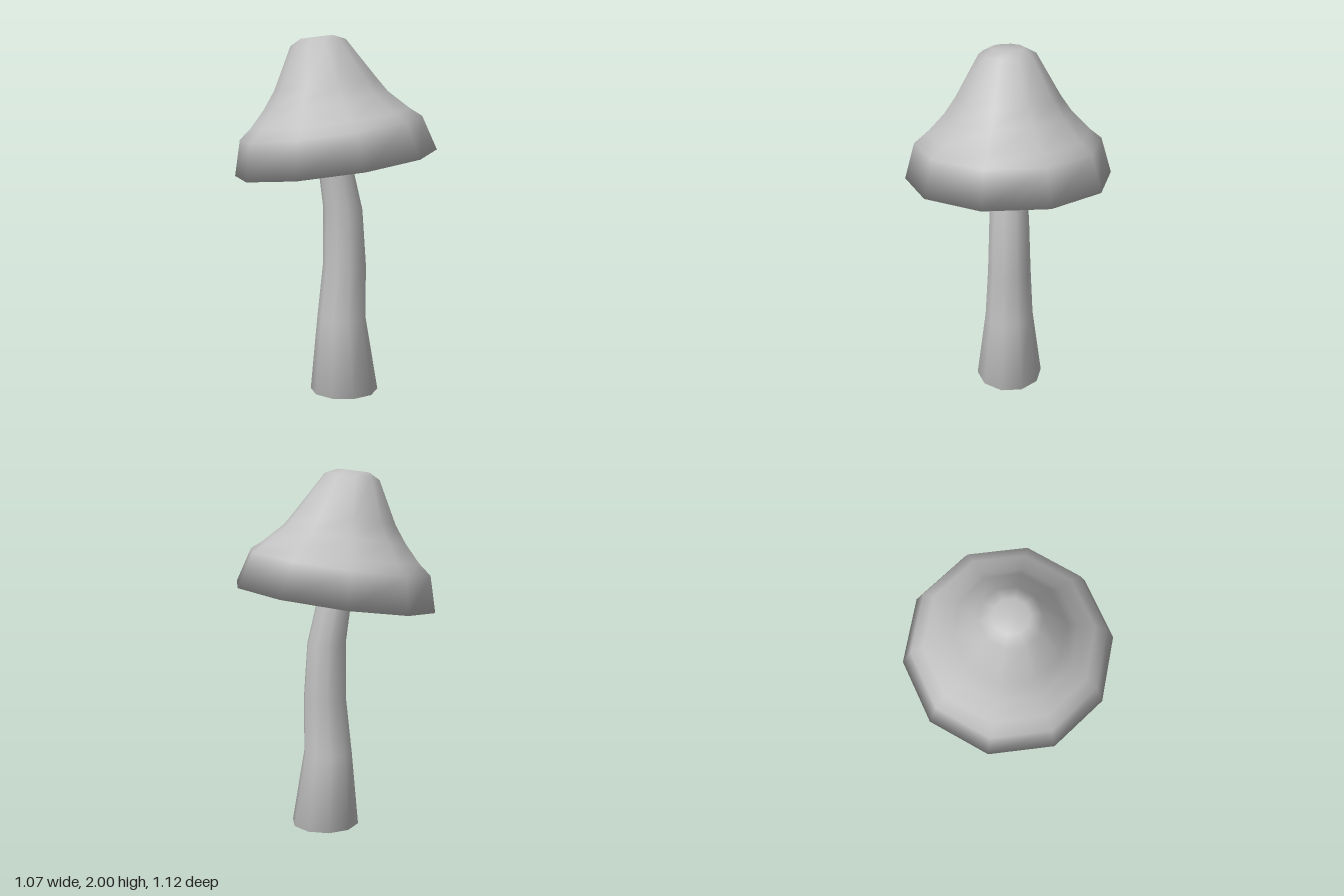
import * as THREE from 'three';

const SIDES = 10;

// Closed, smooth loft through tilted rings [centre x, centre y, radius, tilt], bottom to top.
function loft(rings) {
  const pos = [], idx = [];
  for (const [cx, cy, r, tilt] of rings) {
    for (let i = 0; i < SIDES; i++) {
      const a = (i / SIDES) * Math.PI * 2;
      const dx = r * Math.sin(a);
      pos.push(cx + dx, cy + dx * tilt, r * Math.cos(a));
    }
  }
  const last = rings.length - 1;
  const bottom = pos.length / 3, top = bottom + 1;
  pos.push(rings[0][0], rings[0][1], 0, rings[last][0], rings[last][1], 0);
  for (let i = 0; i < SIDES; i++) {
    const j = (i + 1) % SIDES;
    for (let k = 0; k < last; k++) {
      const a = k * SIDES + i, b = k * SIDES + j;
      idx.push(a, b, b + SIDES, a, b + SIDES, a + SIDES);
    }
    idx.push(bottom, j, i, top, last * SIDES + i, last * SIDES + j);
  }
  const geo = new THREE.BufferGeometry();
  geo.setAttribute('position', new THREE.Float32BufferAttribute(pos, 3));
  geo.setIndex(idx);
  geo.computeVertexNormals();
  return geo;
}

export function createModel() {
  const group = new THREE.Group();
  group.name = 'mushroom';
  const grey = new THREE.MeshStandardMaterial({ color: 0xc0c0c0 });
  grey.name = 'light grey';

  // Bent, tapering stem that ends inside the cap
  const stem = new THREE.Mesh(loft([
    [0.052, 0, 0.192, 0],
    [0.036, 0.42, 0.138, 0],
    [0.053, 0.735, 0.121, 0],
    [0.043, 1.05, 0.11, -0.08],
    [-0.005, 1.31, 0.093, 0.12],
    [-0.013, 1.35, 0.09, 0.14],
  ]), grey);
  stem.name = 'stem';

  // Bell-shaped cap, leaning to one side, with a flat underside
  const cap = new THREE.Mesh(loft([
    [0, 1.305, 0.56, 0.142],
    [-0.028, 1.498, 0.503, 0.141],
    [-0.031, 1.552, 0.437, 0.134],
    [-0.055, 1.65, 0.339, 0.155],
    [-0.06, 1.739, 0.278, 0.146],
    [-0.098, 1.96, 0.15, 0.14],
    [-0.104, 1.99, 0.088, 0.12],
  ]), grey);
  cap.name = 'cap';

  group.add(stem, cap);
  return group;
}
